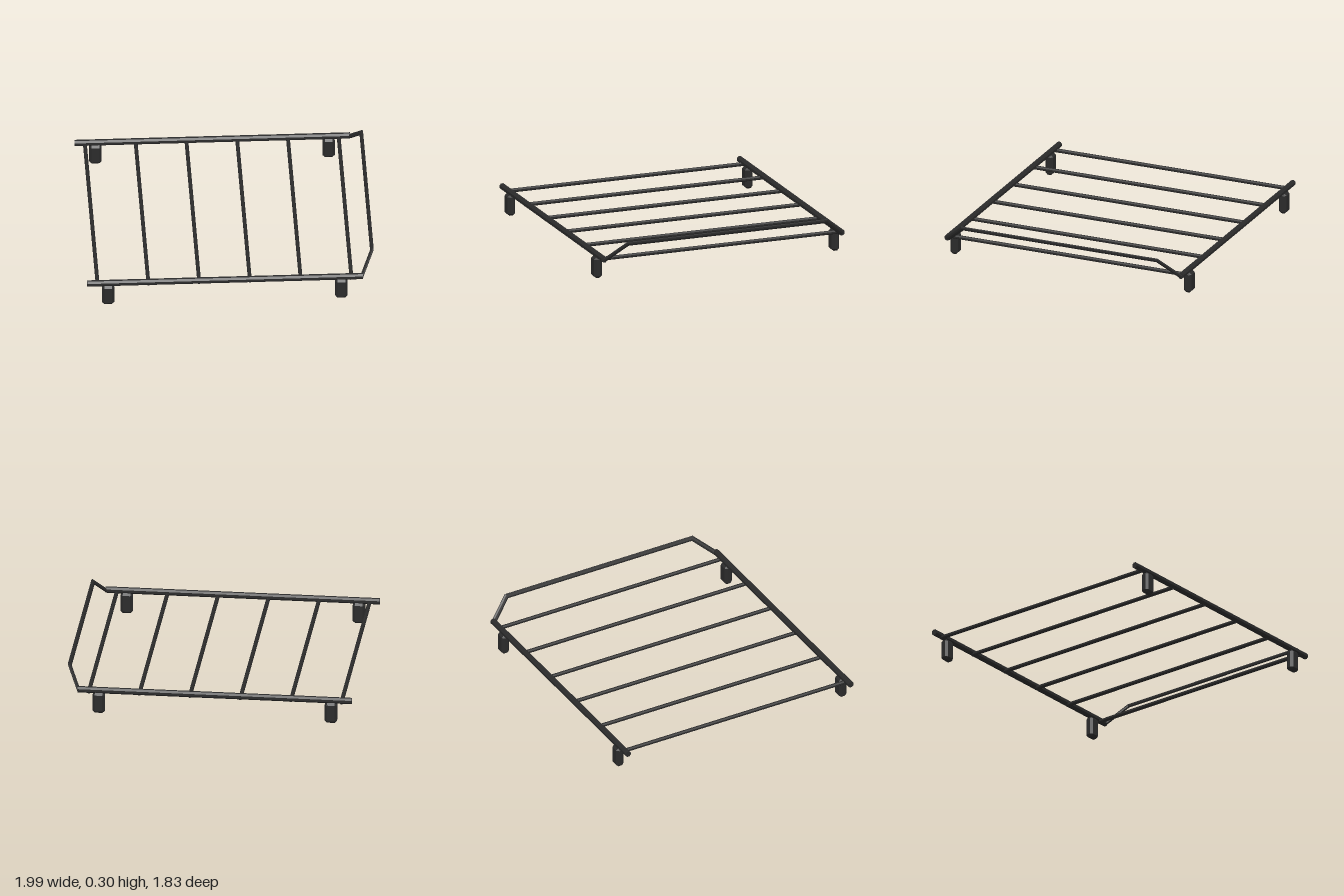
import * as THREE from 'three';
import { ConvexGeometry } from 'three/addons/geometries/ConvexGeometry.js';

const RAIL_Y = 0.165, RAIL_Z = 0.884;

export function createModel() {
  const root = new THREE.Group();
  root.name = 'roofRack';
  const metal = new THREE.MeshStandardMaterial({ color: 0x2b2b2b, flatShading: true });
  metal.name = 'blackMetal';

  const add = (name, geo, x = 0, y = 0, z = 0) => {
    const mesh = new THREE.Mesh(geo, metal);
    mesh.name = name;
    mesh.position.set(x, y, z);
    root.add(mesh);
  };

  // Octagonal bar with flat faces up and down, lying along z or x
  const bar = (size, length, axis) => {
    const r = size / 2 / Math.cos(Math.PI / 8);
    const g = new THREE.CylinderGeometry(r, r, length, 8).rotateY(Math.PI / 8);
    return axis === 'x' ? g.rotateZ(-Math.PI / 2) : g.rotateX(Math.PI / 2);
  };

  // Box with every edge chamfered
  const chamferBox = (w, h, d, c) => {
    const pts = [];
    for (const x of [-1, 1]) for (const y of [-1, 1]) for (const z of [-1, 1]) {
      const [a, b, e] = [w / 2, h / 2, d / 2];
      pts.push(new THREE.Vector3(x * a, y * (b - c), z * (e - c)),
        new THREE.Vector3(x * (a - c), y * b, z * (e - c)),
        new THREE.Vector3(x * (a - c), y * (b - c), z * e));
    }
    return new ConvexGeometry(pts);
  };

  // Side rails and their feet
  for (const s of [1, -1]) {
    const side = s > 0 ? 'front' : 'back';
    add(side + 'Rail', bar(0.041, 1.908, 'x'), -0.046, RAIL_Y, s * RAIL_Z);
    for (const x of [-0.855, 0.76]) {
      add(side + (x > 0 ? 'LeftFoot' : 'RightFoot'), chamferBox(0.085, 0.15, 0.058, 0.016), x, 0.075, s * RAIL_Z);
    }
  }

  // Cross bars
  for (let i = 0; i < 6; i++) {
    add('crossBar' + (i + 1), bar(0.026, 2 * RAIL_Z, 'z'), -0.927 + i * 0.3515, 0.149, 0);
  }

  // Raised end hoop: a flattened bar with mitred corners, leaning outwards
  const path = [[0.9, 0.157, 0.884], [0.979, 0.283, 0.737], [0.979, 0.283, -0.737], [0.9, 0.157, -0.884]]
    .map(p => new THREE.Vector3(...p));
  const slope = new THREE.Vector3(0.079, 0.126, 0).normalize();
  const normal = new THREE.Vector3(slope.y, -slope.x, 0);
  const dir = i => path[i + 1].clone().sub(path[i]).normalize();
  const sides = 8, pos = [], idx = [];
  path.forEach((p, i) => {
    const before = dir(Math.max(i - 1, 0)), after = dir(Math.min(i, path.length - 2));
    const t = before.clone().add(after).normalize();
    const across = normal.clone().cross(t).multiplyScalar(0.0165 / t.dot(after));
    for (let j = 0; j < sides; j++) {
      const a = (j + 0.5) / sides * Math.PI * 2;
      const v = p.clone().addScaledVector(across, Math.cos(a) / Math.cos(Math.PI / 8))
        .addScaledVector(normal, 0.011 * Math.sin(a));
      pos.push(v.x, v.y, v.z);
      if (i < path.length - 1) {
        const k = (j + 1) % sides, o = i * sides;
        idx.push(o + j, o + k, o + sides + j, o + k, o + sides + k, o + sides + j);
      }
    }
  });
  const last = (path.length - 1) * sides;
  for (let j = 1; j < sides - 1; j++) idx.push(0, j + 1, j, last, last + j, last + j + 1);
  const hoop = new THREE.BufferGeometry();
  hoop.setAttribute('position', new THREE.Float32BufferAttribute(pos, 3));
  hoop.setIndex(idx);
  hoop.computeVertexNormals();
  add('endHoop', hoop);

  return root;
}
